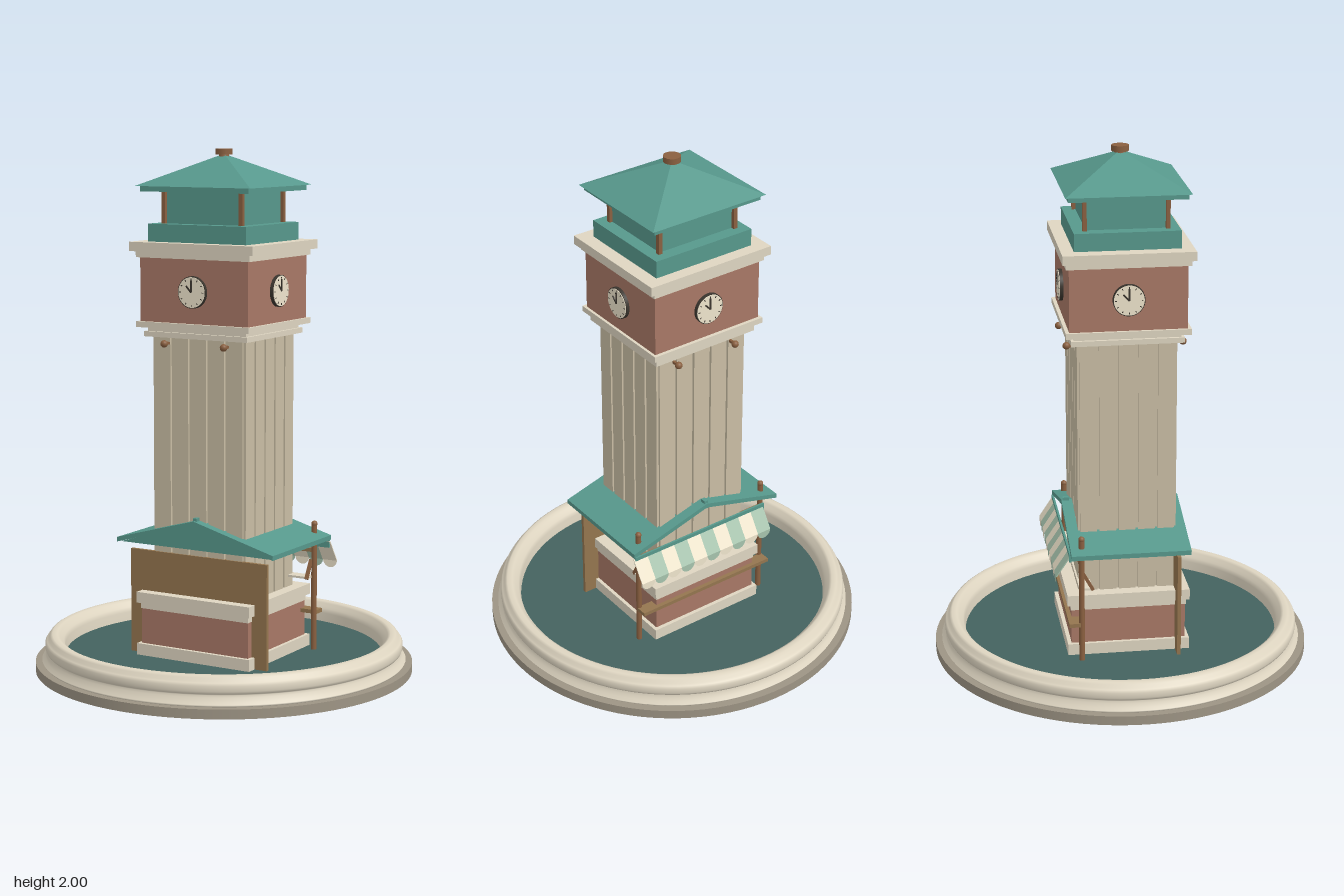
import * as THREE from 'three';

const COLORS = {
  teal: 0x57988c, water: 0x44625f, cream: 0xded5c1, stone: 0xc9bda4, taupe: 0x9d9484,
  brick: 0xa87866, wood: 0x94754f, post: 0x8a6040, dark: 0x3a352e, mint: 0xa5c2ac, ivory: 0xeee4cc,
};
const mats = {};
function mat(key) {
  return mats[key] ??= new THREE.MeshStandardMaterial({ color: COLORS[key], side: THREE.DoubleSide });
}

function add(parent, name, color, geometry, x = 0, y = 0, z = 0) {
  const mesh = new THREE.Mesh(geometry, mat(color));
  mesh.name = name;
  mesh.position.set(x, y, z);
  parent.add(mesh);
  return mesh;
}

// Box given by half extents in x and z and by bottom and top heights
function block(parent, name, color, hx, hz, y0, y1, x = 0, z = 0) {
  return add(parent, name, color, new THREE.BoxGeometry(hx * 2, y1 - y0, hz * 2), x, (y0 + y1) / 2, z);
}

function extrude(points, depth) {
  const shape = new THREE.Shape(points.map(([x, y]) => new THREE.Vector2(x, y)));
  return new THREE.ExtrudeGeometry(shape, { depth, bevelEnabled: false });
}

// Round fountain: foot, rounded wall and water
function buildFountain(root) {
  const g = new THREE.Group();
  g.name = 'fountain';
  root.add(g);
  add(g, 'fountainFoot', 'taupe', new THREE.CylinderGeometry(0.73, 0.73, 0.036, 96), 0, 0.018);
  const profile = [
    [0.6, 0.03], [0.7, 0.036], [0.705, 0.044], [0.69, 0.05], [0.69, 0.068], [0.68, 0.074], [0.688, 0.08],
    [0.692, 0.09], [0.692, 0.11], [0.686, 0.12], [0.677, 0.124], [0.674, 0.136], [0.664, 0.142],
    [0.645, 0.142], [0.634, 0.136], [0.63, 0.124], [0.62, 0.118], [0.614, 0.1], [0.61, 0.04],
  ].map(([r, y]) => new THREE.Vector2(r, y));
  add(g, 'fountainWall', 'cream', new THREE.LatheGeometry(profile, 96));
  add(g, 'water', 'water', new THREE.CylinderGeometry(0.612, 0.612, 0.03, 96), 0, 0.05);
}

// Brick foot of the tower and the ribbed shaft
function buildShaft(root) {
  const g = new THREE.Group();
  g.name = 'shaft';
  root.add(g);
  block(g, 'plinth', 'cream', 0.25, 0.235, 0.06, 0.11);
  block(g, 'brickFoot', 'brick', 0.236, 0.22, 0.11, 0.247);
  block(g, 'footMoulding', 'cream', 0.238, 0.223, 0.247, 0.267);
  block(g, 'footLedge', 'cream', 0.25, 0.236, 0.27, 0.312);
  block(g, 'shaftCore', 'stone', 0.193, 0.178, 0.25, 1.31);
  for (const s of [-1, 1]) {
    for (let i = -2; i <= 2; i++) {
      block(g, 'shaftPanel', 'stone', 0.035, 0.005, 0.3, 1.3, i * 0.079, s * 0.183);
      block(g, 'shaftPanel', 'stone', 0.005, 0.032, 0.3, 1.3, s * 0.198, i * 0.074);
    }
    for (const x of [-0.13, 0.13]) {
      add(g, 'lampKnob', 'post', new THREE.SphereGeometry(0.014, 16, 12), x, 1.275, s * 0.22);
      block(g, 'lampArm', 'post', 0.005, 0.02, 1.27, 1.28, x, s * 0.198);
    }
  }
}

// Clock facing +z, to be turned to each side
function buildClock() {
  const g = new THREE.Group();
  g.name = 'clock';
  const disc = (r, h) => new THREE.CylinderGeometry(r, r, h, 40).rotateX(Math.PI / 2);
  add(g, 'clockRim', 'dark', disc(0.06, 0.014), 0, 0, 0.006);
  add(g, 'clockFace', 'ivory', disc(0.057, 0.004), 0, 0, 0.013);
  for (let i = 0; i < 12; i++) {
    const a = (i * Math.PI) / 6;
    const tick = add(g, 'hourMark', 'dark', new THREE.BoxGeometry(0.003, 0.007, 0.002),
      Math.sin(a) * 0.049, Math.cos(a) * 0.049, 0.0155);
    tick.rotation.z = -a;
  }
  const hand = (name, length, angle) => {
    const geo = new THREE.BoxGeometry(0.006, length, 0.003).translate(0, length / 2, 0);
    add(g, name, 'dark', geo, 0, 0, 0.017).rotation.z = angle;
  };
  hand('minuteHand', 0.045, 0);
  hand('hourHand', 0.032, 0.75);
  return g;
}

// Brick clock storey between two cornices
function buildClockStorey(root) {
  const g = new THREE.Group();
  g.name = 'clockStorey';
  root.add(g);
  block(g, 'lowerCornice', 'cream', 0.225, 0.212, 1.298, 1.318);
  block(g, 'lowerCornice', 'cream', 0.214, 0.2, 1.318, 1.334);
  block(g, 'lowerCornice', 'cream', 0.246, 0.234, 1.334, 1.356);
  block(g, 'clockWalls', 'brick', 0.235, 0.22, 1.356, 1.597);
  block(g, 'upperCornice', 'cream', 0.247, 0.232, 1.597, 1.62);
  block(g, 'upperCornice', 'cream', 0.268, 0.246, 1.62, 1.655);
  for (let i = 0; i < 4; i++) {
    const clock = buildClock();
    const a = (i * Math.PI) / 2;
    const d = i % 2 ? 0.235 : 0.22;
    clock.position.set(Math.sin(a) * d, 1.475, Math.cos(a) * d);
    clock.rotation.y = a;
    g.add(clock);
  }
}

// Lantern with corner posts, hollow hipped roof and cap
function buildLantern(root) {
  const g = new THREE.Group();
  g.name = 'lantern';
  root.add(g);
  block(g, 'lanternBase', 'teal', 0.213, 0.198, 1.655, 1.722);
  block(g, 'lanternWalls', 'teal', 0.163, 0.148, 1.722, 1.84);
  for (const sx of [-1, 1]) {
    for (const sz of [-1, 1]) block(g, 'lanternPost', 'post', 0.008, 0.008, 1.722, 1.86, sx * 0.168, sz * 0.154);
    block(g, 'eave', 'teal', 0.006, 0.22, 1.843, 1.868, sx * 0.229, 0);
    block(g, 'eave', 'teal', 0.235, 0.006, 1.843, 1.868, 0, sx * 0.214);
  }
  const roof = new THREE.ConeGeometry(Math.SQRT2, 0.118, 4, 1, true).rotateY(Math.PI / 4).toNonIndexed();
  roof.scale(0.25, 1, 0.232);
  roof.computeVertexNormals();
  add(g, 'lanternRoof', 'teal', roof, 0, 1.922);
  add(g, 'roofCap', 'post', new THREE.CylinderGeometry(0.033, 0.033, 0.022, 16), 0, 1.989);
  add(g, 'roofCapNeck', 'post', new THREE.CylinderGeometry(0.018, 0.022, 0.02, 16), 0, 1.972);
}

// Kiosk around the foot: front wall, posts, gable roof and counter
function buildKiosk(root) {
  const g = new THREE.Group();
  g.name = 'kiosk';
  root.add(g);
  block(g, 'frontWall', 'wood', 0.302, 0.007, 0.06, 0.47, 0, 0.187);
  const chevron = [[-0.345, 0.515], [-0.345, 0.497], [0, 0.592], [0.345, 0.497], [0.345, 0.515], [0, 0.61]];
  add(g, 'gableRoof', 'teal', extrude(chevron, 0.455), 0, 0, -0.23);
  add(g, 'pediment', 'teal', extrude([[-0.335, 0.497], [0.335, 0.497], [0, 0.598]], 0.015), 0, 0, 0.195);
  for (const z of [0.203, -0.213]) block(g, 'ridgeEnd', 'teal', 0.008, 0.012, 0.585, 0.62, 0, z);
  for (const s of [-1, 1]) {
    add(g, 'post', 'post', new THREE.CylinderGeometry(0.011, 0.011, 0.5, 16), s * 0.295, 0.31, -0.187);
    add(g, 'postCap', 'post', new THREE.SphereGeometry(0.012, 16, 10), s * 0.295, 0.562, -0.187);
    const brace = block(g, 'brace', 'post', 0.006, 0.006, 0.345, 0.425, s * 0.285, -0.162);
    brace.rotation.x = -0.5;
  }
  block(g, 'backBeam', 'wood', 0.295, 0.006, 0.45, 0.465, 0, -0.19);
  block(g, 'counter', 'wood', 0.305, 0.024, 0.205, 0.22, 0, -0.212);
  block(g, 'shelf', 'cream', 0.29, 0.025, 0.35, 0.358, 0, -0.17);
}

// Striped awning with a scalloped edge over the counter
function buildAwning(root) {
  const g = new THREE.Group();
  g.name = 'awning';
  root.add(g);
  const count = 10, x0 = -0.275, w = 0.062;
  const top = [0.49, -0.225], low = [0.405, -0.281];
  const length = Math.hypot(top[0] - low[0], top[1] - low[1]);
  for (let i = 0; i < count; i++) {
    const x = x0 + (i + 0.5) * w;
    const color = i % 2 ? 'ivory' : 'mint';
    const stripe = add(g, 'awningStripe', color, new THREE.BoxGeometry(w, length, 0.004),
      x, (top[0] + low[0]) / 2, (top[1] + low[1]) / 2);
    stripe.rotation.x = Math.atan2(top[1] - low[1], top[0] - low[0]);
    const scallop = new THREE.CircleGeometry(w / 2, 16, Math.PI, Math.PI);
    add(g, 'awningScallop', color, scallop, x, 0.406, -0.282);
  }
  block(g, 'awningRail', 'teal', 0.31, 0.004, 0.465, 0.498, 0.03, -0.228);
}

export function createModel() {
  const root = new THREE.Group();
  root.name = 'clockTower';
  buildFountain(root);
  buildShaft(root);
  buildClockStorey(root);
  buildLantern(root);
  buildKiosk(root);
  buildAwning(root);
  return root;
}
